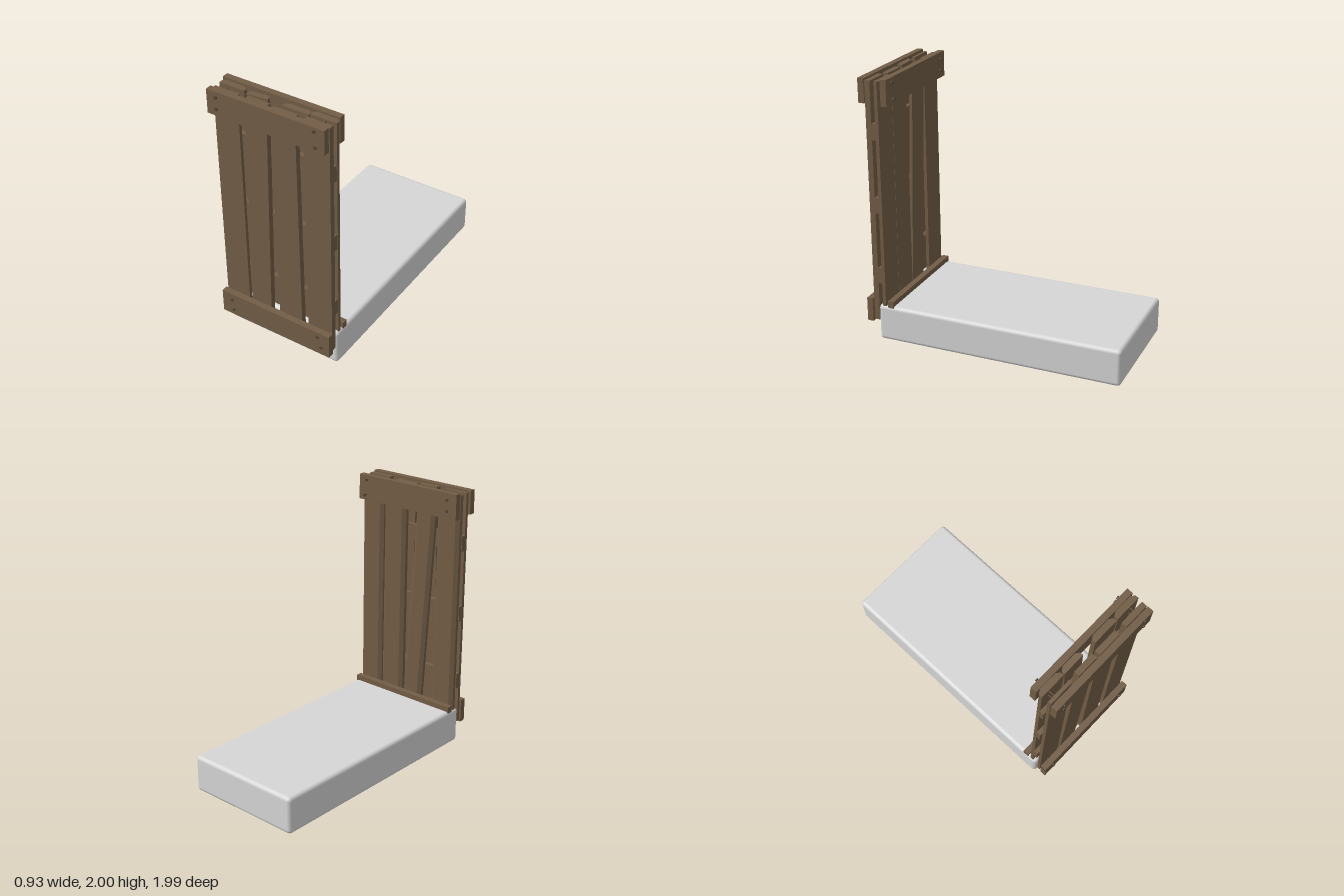
import * as THREE from 'three';
import { RoundedBoxGeometry } from 'three/addons/geometries/RoundedBoxGeometry.js';

const mat = (name, color) => {
  const m = new THREE.MeshStandardMaterial({ color });
  m.name = name;
  return m;
};

export function createModel() {
  const model = new THREE.Group();
  model.name = 'mattressWithPallet';
  const wood = mat('wood', 0x725d46);
  const nailMetal = mat('nailMetal', 0x544637);
  const fabric = mat('fabric', 0xd6d6d6);

  const add = (name, geo, material, parent = model) => {
    const mesh = new THREE.Mesh(geo, material);
    mesh.name = name;
    parent.add(mesh);
    return mesh;
  };

  // Box board given by its extents, optionally tilted in its own plane
  const board = (name, x0, x1, y0, y1, z0, z1, tilt = 0) => {
    const b = add(name, new THREE.BoxGeometry(x1 - x0, y1 - y0, z1 - z0), wood);
    b.position.set((x0 + x1) / 2, (y0 + y1) / 2, (z0 + z1) / 2);
    b.rotation.z = tilt;
    return b;
  };

  // Upright plank with chamfered rear corners: cross-section drawn in x/z, extruded upwards
  const chamferedPlank = (name, x, width, y0, y1, z0, z1, tilt = 0) => {
    const h = width / 2, c = 0.028, d = 0.02, len = y1 - y0;
    const s = new THREE.Shape([
      [-h, -z1], [h, -z1], [h, -z0 - d], [h - c, -z0], [-h + c, -z0], [-h, -z0 - d],
    ].map(([px, py]) => new THREE.Vector2(px, py)));
    const geo = new THREE.ExtrudeGeometry(s, { depth: len, bevelEnabled: false });
    geo.rotateX(-Math.PI / 2).translate(0, -len / 2, 0);
    const p = add(name, geo, wood);
    p.position.set(x, (y0 + y1) / 2, 0);
    p.rotation.z = tilt;
  };

  // Mattress lying on the ground
  add('mattress', new RoundedBoxGeometry(0.93, 0.28, 1.88, 3, 0.03), fabric)
    .position.set(0, 0.14, -0.06);

  // Front layer of upright planks
  board('frontPlank', -0.45, -0.255, 0.15, 1.98, 0.893, 0.918);
  board('frontPlank', -0.213, -0.046, 0.15, 1.98, 0.88, 0.922, -0.022);
  board('frontPlank', 0.007, 0.196, 0.15, 1.97, 0.88, 0.922, 0.006);
  board('frontPlank', 0.255, 0.45, 0.15, 1.98, 0.88, 0.922);

  // Crossbars between the two layers
  for (const y of [0.51, 1.06, 1.61]) {
    board('crossbar', -0.46, 0.45, y - 0.06, y + 0.06, 0.847, 0.882);
  }

  // Rear layer of planks, one of them slipped to a slant
  chamferedPlank('rearPlank', -0.354, 0.2, 0.2, 1.98, 0.802, 0.848);
  chamferedPlank('slantedRearPlank', -0.105, 0.17, 0.2, 1.97, 0.802, 0.846, 0.058);
  chamferedPlank('rearPlank', 0.143, 0.203, 0.2, 1.97, 0.802, 0.848);
  chamferedPlank('rearPlank', 0.355, 0.198, 0.2, 1.98, 0.802, 0.848);

  // Outer rails at top and bottom of both faces
  board('topFrontRail', -0.46, 0.448, 1.813, 1.992, 0.93, 0.977, -0.003);
  board('bottomFrontRail', -0.455, 0.46, 0.135, 0.318, 0.93, 0.977, -0.002);
  board('topRearRail', -0.46, 0.448, 1.805, 1.997, 0.756, 0.802, -0.003);
  board('bottomRearRail', -0.46, 0.46, 0.2, 0.32, 0.756, 0.802);

  // Nails driven through the rails, with a head at the front
  const nail = (x, y, zEnd, rearHead) => {
    const g = new THREE.Group();
    g.name = 'nail';
    g.position.set(x, y, 0);
    model.add(g);
    const rod = (name, r, z0, z1) => {
      const m = add(name, new THREE.CylinderGeometry(r, r, z1 - z0, 10), nailMetal, g);
      m.rotation.x = Math.PI / 2;
      m.position.z = (z0 + z1) / 2;
    };
    rod('nailShaft', 0.005, zEnd, 0.98);
    rod('nailHead', 0.012, 0.977, 0.985);
    if (rearHead) rod('nailRearHead', 0.011, zEnd - 0.003, zEnd + 0.005);
  };
  for (const [x, y, z] of [[-0.385, 1.95, 0.74], [-0.385, 1.865, 0.745], [0.372, 1.962, 0.745], [0.38, 1.846, 0.73]]) {
    nail(x, y, z, true);
  }
  for (const [x, y] of [[-0.37, 0.27], [-0.36, 0.182], [0.365, 0.278], [0.395, 0.195]]) {
    nail(x, y, 0.8, false);
  }

  return model;
}
